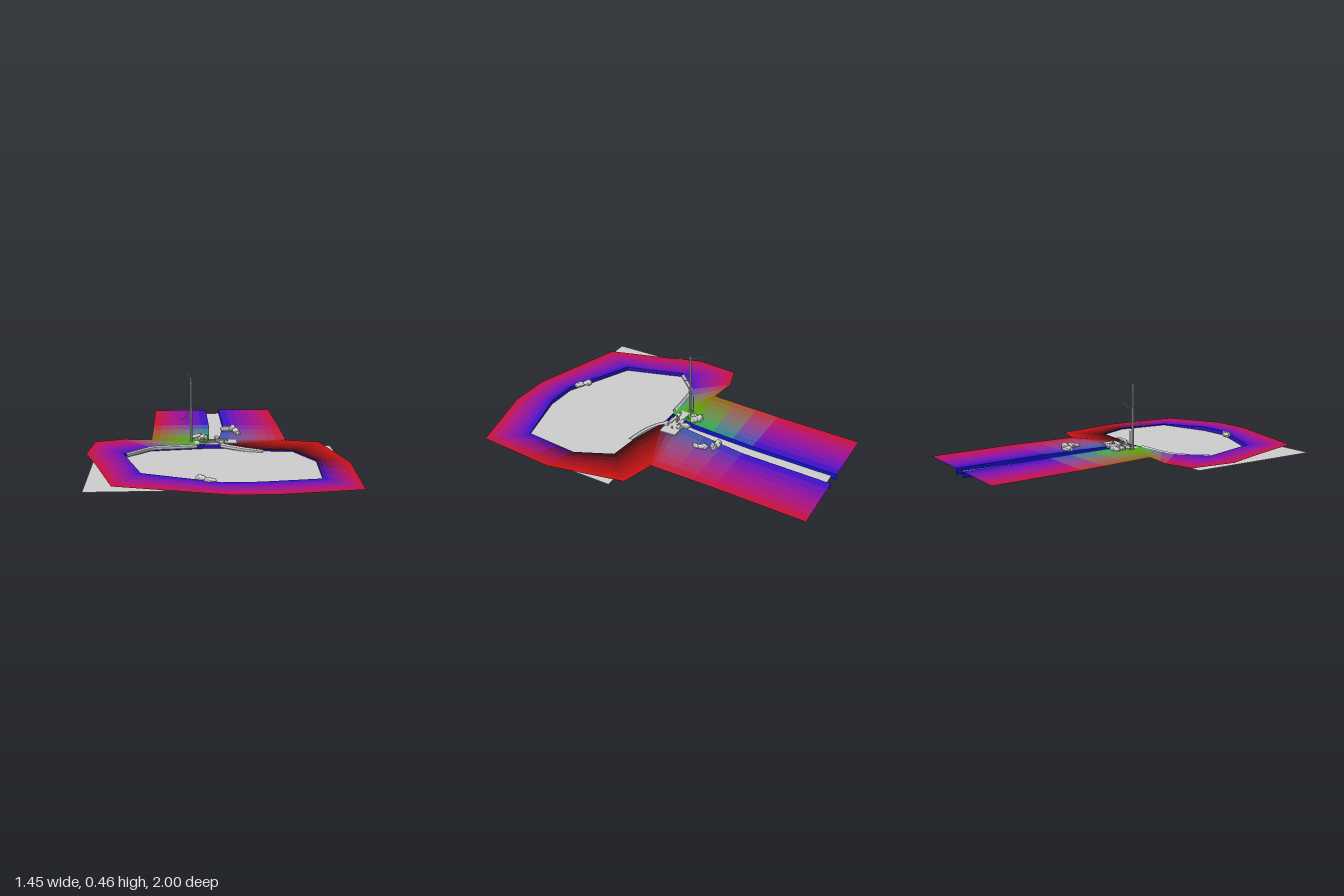
import * as THREE from 'three';

const RED = 0xcc1111, BLUE = 0x1111cc, GREEN = 0x11bb11, BLACK = 0x050a0a, TEAL = 0x1166aa, PURPLE = 0x5511bb, OLIVE = 0x886611;

// Bank stations: inner x,z | outer x,z | inner y, outer y | inner colour, outer colour
const STATIONS = [
  [-0.01, -1, -0.37, -1, 0.035, 0.035, BLUE, RED],
  [-0.01, -0.49, -0.37, -0.49, 0.045, 0.045, BLUE, RED],
  [-0.025, -0.1, -0.37, -0.06, 0.055, 0.06, GREEN, OLIVE],
  [-0.06, 0.07, -0.37, -0.06, 0.06, 0.06, GREEN, OLIVE],
  [-0.37, 0.11, -0.54, -0.08, 0.06, 0.06, PURPLE, RED],
  [-0.515, 0.25, -0.7, -0.03, 0.06, 0.06, BLUE, RED],
  [-0.515, 0.26, -0.725, 0.24, 0.06, 0.06, PURPLE, RED],
  [-0.46, 0.44, -0.65, 0.465, 0.06, 0.06, PURPLE, RED],
  [-0.405, 0.625, -0.54, 0.84, 0.06, 0.06, BLUE, RED],
  [0, 0.8, 0.035, 1, 0.06, 0.06, BLUE, RED],
  [0.19, 0.8, 0.285, 1, 0.06, 0.06, BLUE, RED],
  [0.52, 0.705, 0.695, 0.895, 0.042, 0.042, BLUE, RED],
  [0.545, 0.37, 0.725, 0.42, 0.042, 0.042, 0x080822, RED],
  [0.445, 0.16, 0.63, -0.03, 0.042, 0.042, BLACK, RED],
  [0.27, 0.14, 0.44, -0.08, 0.045, 0.042, BLACK, RED],
  [0.06, 0.07, 0.44, -0.08, 0.058, 0.045, BLACK, RED],
  [0.035, -0.08, 0.44, -0.1, 0.055, 0.045, TEAL, RED],
  [0.08, -0.47, 0.44, -0.47, 0.045, 0.045, BLUE, RED],
  [0.08, -1, 0.44, -1, 0.035, 0.035, BLUE, RED],
].map(([x, z, ox, oz, y, oy, c, oc]) => ({
  in: new THREE.Vector3(x, y, z), out: new THREE.Vector3(ox, oy, oz),
  cIn: new THREE.Color(c), cOut: new THREE.Color(oc),
}));

function seeded(seed) {
  let s = seed;
  return () => (s = (s * 16807) % 2147483647) / 2147483647;
}

function material(color = 0xcccccc, side = THREE.DoubleSide) {
  return new THREE.MeshStandardMaterial({ color, side, flatShading: true });
}

function add(parent, name, geometry, mat) {
  const mesh = new THREE.Mesh(geometry, mat);
  mesh.name = name;
  parent.add(mesh);
  return mesh;
}

function group(parent, name) {
  const g = new THREE.Group();
  g.name = name;
  parent.add(g);
  return g;
}

// Surface between two equally long rows of points
function ribbon(a, b, closed = false) {
  const pos = [], n = a.length;
  for (let i = 0; i < (closed ? n : n - 1); i++) {
    const j = (i + 1) % n;
    for (const p of [a[i], b[i], b[j], a[i], b[j], a[j]]) pos.push(p.x, p.y, p.z);
  }
  const g = new THREE.BufferGeometry();
  g.setAttribute('position', new THREE.Float32BufferAttribute(pos, 3));
  g.computeVertexNormals();
  return g;
}

const atHeight = (p, y) => new THREE.Vector3(p.x, y, p.z);

function tube(parent, name, points, radius, sides = 6) {
  const curve = new THREE.CatmullRomCurve3(points.map((p) => new THREE.Vector3(...p)));
  return add(parent, name, new THREE.TubeGeometry(curve, 10, radius, sides), material());
}

// Faceted stone of a given size, roughened by a seeded rule
function stone(parent, x, y, z, sx, sy, sz, turn, seed) {
  const geo = new THREE.IcosahedronGeometry(0.5, 1), pos = geo.attributes.position;
  const v = new THREE.Vector3();
  for (let i = 0; i < pos.count; i++) {
    v.fromBufferAttribute(pos, i);
    v.multiplyScalar(1 + 0.13 * Math.sin(v.x * 9 + seed) + 0.1 * Math.cos(v.z * 11 + seed * 2));
    pos.setXYZ(i, v.x, v.y, v.z);
  }
  geo.computeVertexNormals();
  const mesh = add(parent, 'stone', geo, material());
  mesh.position.set(x, y, z);
  mesh.scale.set(sx, sy, sz);
  mesh.rotation.y = turn;
}

export function createModel() {
  const model = new THREE.Group();
  model.name = 'pondAndStream';

  // Ground around pond and stream, in patches shading from inner to outer colour
  const bank = group(model, 'bank');
  const along = 3, across = 7;
  for (let i = 0; i < STATIONS.length - 1; i++) {
    const a = STATIONS[i], b = STATIONS[i + 1];
    const point = (u, v) => a.in.clone().lerp(b.in, u).lerp(a.out.clone().lerp(b.out, u), v);
    const tint = (u, v) => a.cIn.clone().lerp(b.cIn, u).lerp(a.cOut.clone().lerp(b.cOut, u), v);
    for (let s = 0; s < along; s++) for (let k = 0; k < across; k++) {
      const u0 = s / along, u1 = (s + 1) / along, v0 = k / across, v1 = (k + 1) / across;
      add(bank, 'bankPatch', ribbon([point(u0, v0), point(u1, v0)], [point(u0, v1), point(u1, v1)]),
        material(tint((u0 + u1) / 2, (v0 + v1) / 2)));
    }
  }

  // Pond basin: upright wall, bevel and floor
  const basin = group(model, 'pondBasin');
  const rim = STATIONS.slice(3, 16).map((s) => s.in);
  const foot = rim.map((p) => atHeight(p, 0.022));
  const low = rim.map((p) => new THREE.Vector3(0.03 + (p.x - 0.03) * 0.89, 0.006, 0.44 + (p.z - 0.44) * 0.89));
  const centre = low.map(() => new THREE.Vector3(0.03, 0.006, 0.44));
  add(basin, 'pondWall', ribbon(rim, foot, true), material(0x2a11bb));
  add(basin, 'pondBevel', ribbon(foot, low, true), material(0x1111aa));
  add(basin, 'pondFloor', ribbon(low, centre, true), material(0x1111aa));

  // Stream channel
  const channel = group(model, 'streamChannel');
  const left = STATIONS.slice(0, 4).map((s) => s.in);
  const right = STATIONS.slice(15).map((s) => s.in).reverse();
  const bed = (row) => row.map((p) => atHeight(p, 0.01 * Math.max(0, 1 + p.z)));
  for (const row of [left, right]) add(channel, 'streamWall', ribbon(row, bed(row)), material(BLUE));
  add(channel, 'streamBed', ribbon(bed(left), bed(right)), material(BLUE, THREE.FrontSide));

  // Water sheets
  const pond = add(model, 'pondWater', new THREE.PlaneGeometry(1.365, 0.815), material());
  pond.rotation.x = -Math.PI / 2;
  pond.position.set(0.003, 0.035, 0.4425);
  const sheet = (row) => row.map((p) => new THREE.Vector3(p.x, 0.016 + 0.008 * (1 + p.z), Math.max(p.z, -0.97)));
  add(model, 'streamWater', ribbon(sheet(left), sheet(right)), material());

  // Dam of slabs, posts and rubble
  const dam = group(model, 'dam');
  for (const [x, y, z, w, h, d, t] of [
    [0.085, 0.052, -0.005, 0.1, 0.016, 0.1, 0.04], [-0.07, 0.052, 0.012, 0.09, 0.016, 0.06, -0.08],
    [0, 0.04, 0.005, 0.08, 0.04, 0.035, 0], [0.02, 0.06, -0.03, 0.1, 0.012, 0.02, 0.15],
    [-0.02, 0.058, 0.03, 0.11, 0.014, 0.018, -0.1], [0.05, 0.05, 0.045, 0.05, 0.025, 0.025, 0.3],
  ]) {
    const slab = add(dam, 'damSlab', new THREE.BoxGeometry(w, h, d), material());
    slab.position.set(x, y, z);
    slab.rotation.y = t;
  }
  const rnd = seeded(17);
  for (let i = 0; i < 9; i++) {
    const post = add(dam, 'damPost', new THREE.CylinderGeometry(0.006, 0.007, 0.06, 6), material());
    post.position.set(-0.1 + i * 0.022, 0.045, (rnd() - 0.5) * 0.08);
    post.rotation.z = (rnd() - 0.5) * 0.4;
  }

  // Logs along the shore
  const shore = group(model, 'shoreLogs');
  tube(shore, 'leftShoreLog', [[-0.505, 0.05, 0.25], [-0.43, 0.05, 0.17], [-0.36, 0.052, 0.11], [-0.22, 0.052, 0.09], [-0.1, 0.054, 0.08]], 0.013);
  tube(shore, 'rightShoreLog', [[0.03, 0.05, 0.05], [0.08, 0.05, 0.09], [0.16, 0.045, 0.13], [0.275, 0.035, 0.16]], 0.014);

  // Stone clusters
  const stones = group(model, 'stones');
  [
    [-0.09, 0.065, -0.1, 0.08, 0.035, 0.045, 0.3], [-0.055, 0.068, -0.08, 0.06, 0.035, 0.05, 1],
    [-0.095, 0.062, -0.06, 0.05, 0.03, 0.04, 0.5], [0.02, 0.062, -0.07, 0.035, 0.03, 0.06, 0],
    [0.09, 0.06, -0.315, 0.07, 0.035, 0.045, 0.2], [0.13, 0.065, -0.31, 0.05, 0.045, 0.04, 0.7],
    [0.15, 0.06, -0.255, 0.045, 0.04, 0.06, 0.4], [0.16, 0.055, -0.215, 0.035, 0.03, 0.05, 0],
    [-0.1, 0.062, 0.735, 0.07, 0.035, 0.05, -0.5], [-0.06, 0.06, 0.765, 0.065, 0.03, 0.05, -0.4],
  ].forEach((s, i) => stone(stones, ...s, i + 1));

  // Bare tree and a smaller stick
  const tree = group(model, 'bareTree');
  const trunk = add(tree, 'trunk', new THREE.CylinderGeometry(0.006, 0.008, 0.41, 8), material());
  trunk.position.set(-0.134, 0.235, -0.01);
  for (const pts of [
    [[-0.134, 0.245, -0.01], [-0.165, 0.215, 0.01], [-0.2, 0.2, 0.025]],
    [[-0.134, 0.295, -0.01], [-0.09, 0.303, -0.018], [-0.05, 0.325, -0.02]],
    [[-0.134, 0.43, -0.01], [-0.142, 0.437, -0.05], [-0.15, 0.455, -0.092]],
    [[-0.134, 0.435, -0.01], [-0.132, 0.42, 0.03], [-0.128, 0.41, 0.07]],
  ]) tube(tree, 'branch', pts, 0.0025, 5);
  tube(model, 'stick', [[-0.134, 0.05, -0.03], [-0.136, 0.11, -0.031], [-0.135, 0.175, -0.032]], 0.003, 5);

  return model;
}
